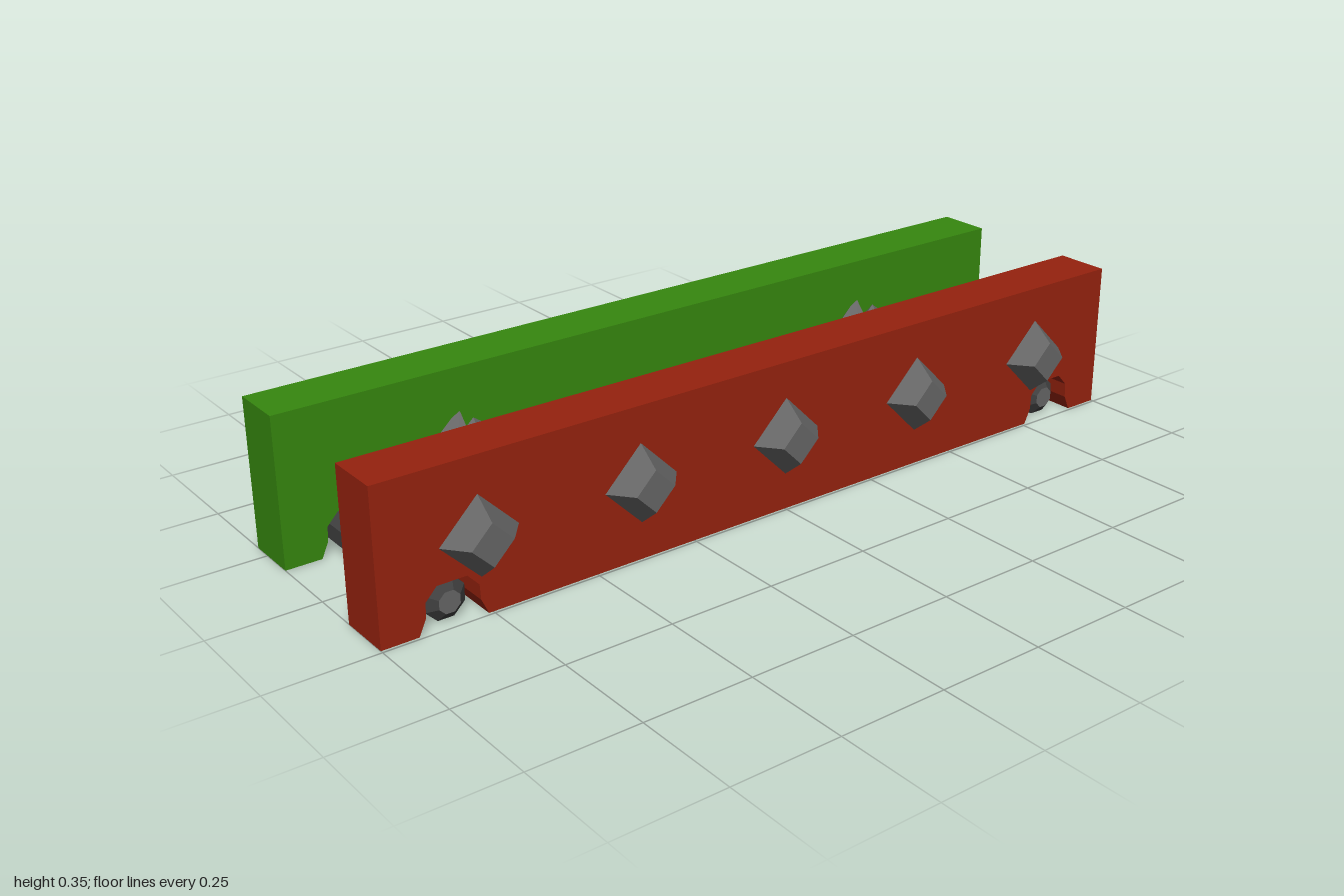
import * as THREE from 'three';

const paint = (name, color) => {
  const m = new THREE.MeshStandardMaterial({ color, flatShading: true });
  m.name = name;
  return m;
};

export function createModel() {
  const red = paint('red', 0x96220e);
  const green = paint('green', 0x36870f);
  const steel = paint('steel grey', 0x666666);
  const dark = paint('dark grey', 0x404040);
  const model = new THREE.Group();

  const add = (name, geometry, material, x = 0, y = 0, z = 0, parent = model) => {
    const mesh = new THREE.Mesh(geometry, material);
    mesh.name = name;
    mesh.position.set(x, y, z);
    parent.add(mesh);
    return mesh;
  };

  const rodX = 0.838;
  const midZ = -0.026;

  // Side plates with a faceted arch cut over each rod
  const notch = [[-0.078, 0], [-0.062, 0.035], [-0.06, 0.07], [-0.034, 0.098],
    [0.034, 0.098], [0.06, 0.07], [0.062, 0.035], [0.078, 0]];
  const outline = [[-1, 0]];
  for (const cx of [-rodX, rodX]) for (const [x, y] of notch) outline.push([cx + x, y]);
  outline.push([1, 0], [1, 0.348], [-1, 0.348]);
  const plate = new THREE.ExtrudeGeometry(
    new THREE.Shape(outline.map(([x, y]) => new THREE.Vector2(x, y))),
    { depth: 0.129, bevelEnabled: false });
  add('frontPlate', plate, red, 0, 0, 0.114);
  add('backPlate', plate, green, 0, 0, -0.295);

  // Diamond studs on the front plate
  const stud = new THREE.CylinderGeometry(0.048, 0.09, 0.052, 4).rotateX(Math.PI / 2);
  for (let i = -2; i <= 2; i++) add('stud', stud, steel, i * 0.386, 0.175, 0.269);

  // Octagonal rods with bevelled ends
  const flat = 1 / Math.cos(Math.PI / 8);
  const prism = (r1, r2, h) => new THREE.CylinderGeometry(r1 * flat, r2 * flat, h, 8)
    .rotateY(Math.PI / 8).rotateX(Math.PI / 2);
  const shaft = prism(0.045, 0.045, 0.47);
  const bevel = prism(0.024, 0.045, 0.02);

  // Five-sided screw: a sheared grid wrapped into one continuous thread
  const pitch = 0.06;
  const screw = new THREE.PlaneGeometry(1, 1, 5, 12);
  const p = screw.attributes.position;
  for (let i = 0; i < p.count; i++) {
    const k = i % 6, row = 5 - Math.floor(i / 6);
    const a = Math.PI / 2 + k * Math.PI * 2 / 5;
    const r = row % 2 === 0 ? 0.064 : 0.031;
    p.setXYZ(i, r * Math.cos(a), r * Math.sin(a), 0.01 + pitch * (row / 2 + k / 5));
  }
  screw.computeVertexNormals();

  for (const side of [-1, 1]) {
    const rod = new THREE.Group();
    rod.name = 'rod';
    rod.position.set(side * rodX, 0.045, midZ);
    add('rodShaft', shaft, dark, 0, 0, 0, rod);
    add('rodFrontEnd', bevel, [dark, steel, dark], 0, 0, 0.245, rod);
    add('rodBackEnd', bevel, [dark, steel, dark], 0, 0, -0.245, rod).rotation.y = Math.PI;
    model.add(rod);
    add('screw', screw, steel, side * 0.57, 0.186, 0);
  }
  return model;
}
